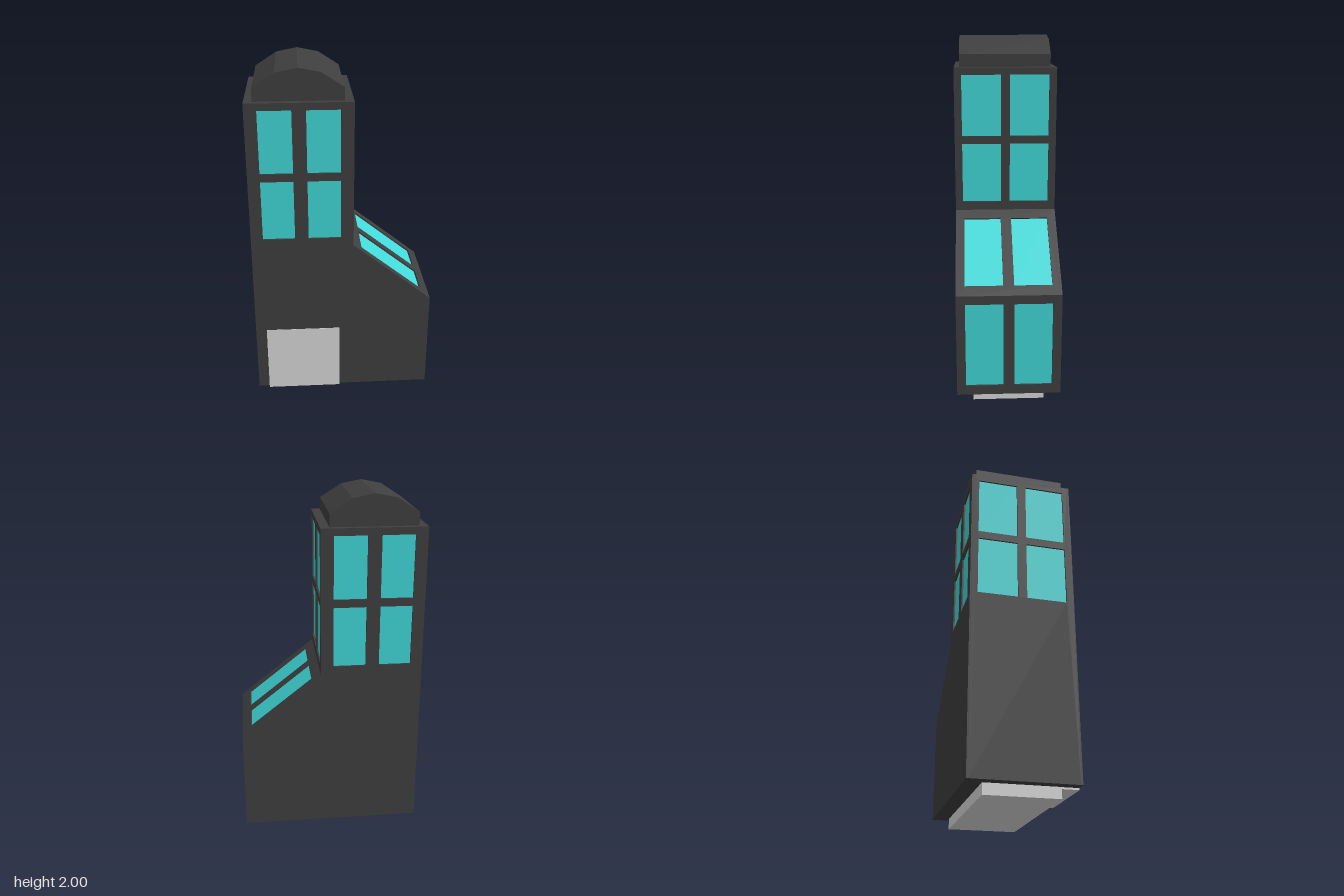
import * as THREE from 'three';

const wallMat = new THREE.MeshStandardMaterial({ name: 'darkWall', color: 0x3f3f3f });
const glassMat = new THREE.MeshStandardMaterial({ name: 'tealGlass', color: 0x41dada });
const paleMat = new THREE.MeshStandardMaterial({ name: 'paleStone', color: 0xdbdbdb });

const T = 0.01; // depth of the window recess
const W = 0.51, D = 0.29, BASE = 0.06, TOP = 1.83;
const TOWER = 0.06, SHOULDER = 1.01, EAVE = 0.65;

const shapeOf = (pts) => new THREE.Shape(pts.map(([x, y]) => new THREE.Vector2(x, y)));
const extrude = (shape, depth) =>
  new THREE.ExtrudeGeometry(shape, { depth, bevelEnabled: false });

function addMesh(parent, name, geometry, material, x = 0, y = 0, z = 0) {
  const mesh = new THREE.Mesh(geometry, material);
  mesh.name = name;
  mesh.position.set(x, y, z);
  parent.add(mesh);
  return mesh;
}

// Thin wall facing local +z (outer face at z = 0) with recessed panes [x0, x1, y0, y1]
function facade(name, outline, panes) {
  const group = new THREE.Group();
  group.name = name;
  const shape = shapeOf(outline);
  for (const [x0, x1, y0, y1] of panes) {
    shape.holes.push(new THREE.Path([[x0, y0], [x0, y1], [x1, y1], [x1, y0]]
      .map(([x, y]) => new THREE.Vector2(x, y))));
    addMesh(group, 'windowPane', new THREE.PlaneGeometry(x1 - x0, y1 - y0), glassMat,
      (x0 + x1) / 2, (y0 + y1) / 2, -T + 0.001);
  }
  addMesh(group, 'wallPanel', extrude(shape, T), wallMat, 0, 0, -T);
  return group;
}

const rect = (w, y0, y1) => [[-w, y0], [w, y0], [w, y1], [-w, y1]];
const grid = (cols, rows) => rows.flatMap((r) => cols.map((c) => [...c, ...r]));

export function createModel() {
  const model = new THREE.Group();
  model.name = 'tower';
  const rows = [[1.06, 1.4], [1.445, 1.79]];
  const pair = [[-0.248, -0.025], [0.025, 0.248]];
  const lowPair = [[-0.24, -0.03], [0.03, 0.24]];

  // Solid core just behind the wall panels
  const core = [[-W + T, BASE], [W - T, BASE], [W - T, EAVE - T / 2],
    [TOWER - T, SHOULDER - T / 2], [TOWER - T, TOP], [-W + T, TOP]];
  addMesh(model, 'core', extrude(shapeOf(core), 2 * (D - T)), wallMat, 0, 0, -D + T);

  // Front and back walls with the full stepped outline
  const outline = [[-W, BASE], [W, BASE], [W, EAVE], [TOWER, SHOULDER], [TOWER, TOP], [-W, TOP]];
  const cols = [[-0.443, -0.265], [-0.19, -0.01]];
  const front = facade('frontWall', outline, grid(cols, rows));
  front.position.z = D;
  const back = facade('backWall', outline.map(([x, y]) => [-x, y]).reverse(),
    grid(cols.map(([a, b]) => [-b, -a]), rows));
  back.rotation.y = Math.PI;
  back.position.z = -D;
  model.add(front, back);

  // Side walls
  const side = D - T;
  const outer = facade('tallSideWall', rect(side, BASE, TOP), grid(pair, rows));
  outer.rotation.y = -Math.PI / 2;
  outer.position.x = -W;
  const upper = facade('towerSideWall', rect(side, SHOULDER, TOP), grid(pair, rows));
  upper.rotation.y = Math.PI / 2;
  upper.position.x = TOWER;
  const lower = facade('lowSideWall', rect(side, BASE, EAVE), grid(lowPair, [[0.115, 0.6]]));
  lower.rotation.y = Math.PI / 2;
  lower.position.x = W;
  model.add(outer, upper, lower);

  // Sloping glazed roof, measured up the slope from the eave
  const run = W - TOWER, rise = SHOULDER - EAVE, length = Math.hypot(run, rise);
  const slope = facade('slopingRoof', rect(side, 0, length),
    grid(lowPair, [[length * 0.11, length * 0.89]]));
  slope.rotation.order = 'YXZ';
  slope.rotation.set(-Math.atan2(run, rise), Math.PI / 2, 0);
  slope.position.set(W, EAVE, 0);
  model.add(slope);

  // Faceted barrel roof on the tower
  const arch = [[-0.465, TOP], [0.01, TOP], [0.01, 1.9], [-0.11, 1.977],
    [-0.228, 2], [-0.346, 1.977], [-0.465, 1.9]];
  addMesh(model, 'barrelRoof', extrude(shapeOf(arch), 0.516), wallMat, 0, 0, -0.258);

  // Plinth and the door block reaching through the body
  addMesh(model, 'plinth', new THREE.BoxGeometry(0.91, BASE, 0.4), paleMat, 0.005, BASE / 2, 0);
  addMesh(model, 'door', new THREE.BoxGeometry(0.43, 0.415, 0.487), paleMat,
    -0.233, 0.2575, 0.0485);
  return model;
}
